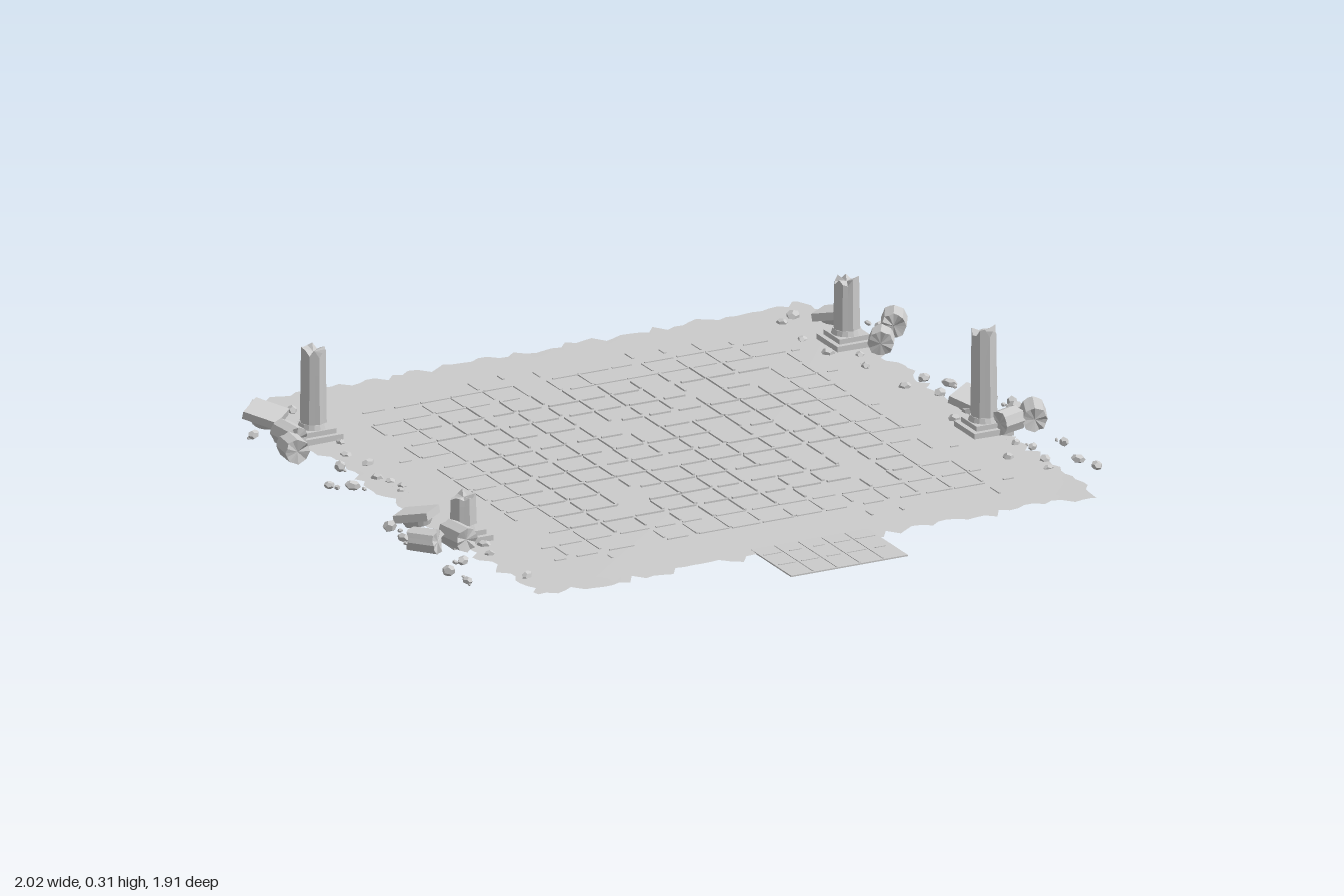
import * as THREE from 'three';
import { mergeGeometries } from 'three/addons/utils/BufferGeometryUtils.js';

export function createModel() {
  const root = new THREE.Group();
  root.name = 'ruinedTempleCourt';
  const stone = new THREE.MeshStandardMaterial({ color: 0xcccccc, flatShading: true });
  const sheet = new THREE.MeshStandardMaterial({ color: 0xcccccc, side: THREE.DoubleSide });

  let seed = 7;
  const rnd = (a = 0, b = 1) => {
    seed = (seed * 16807) % 2147483647;
    return a + (b - a) * (seed / 2147483647);
  };
  const add = (parent, geo, name, x = 0, y = 0, z = 0, mat = stone) => {
    const m = new THREE.Mesh(geo, mat);
    m.name = name;
    m.position.set(x, y, z);
    parent.add(m);
    return m;
  };
  const group = (name, parent = root) => {
    const g = new THREE.Group();
    g.name = name;
    parent.add(g);
    return g;
  };

  // Ground: very shallow dome with a ragged border
  const CZ = -0.085, HX = 0.85, HZ = 0.85, N = 64;
  const groundY = (x, z) => {
    const u = Math.min(1, Math.abs(x) / HX), v = Math.min(1, Math.abs(z - CZ) / HZ);
    return 0.023 + 0.01 * (1 - u * u) * (1 - v * v);
  };
  const ground = new THREE.PlaneGeometry(2 * HX, 2 * HZ, N, N).rotateX(-Math.PI / 2);
  const gp = ground.attributes.position;
  for (let j = 0; j <= N; j++) {
    for (let i = 0; i <= N; i++) {
      const k = j * (N + 1) + i;
      let x = gp.getX(k), z = gp.getZ(k) + CZ;
      const y = groundY(x, z);
      const edgeX = i === 0 || i === N, edgeZ = j === 0 || j === N;
      if (edgeX) x += Math.sign(x) * rnd(-0.02, 0.022);
      if (edgeZ) z += Math.sign(z) * rnd(-0.02, 0.027);
      if (edgeX && edgeZ) x *= 0.985;
      gp.setXYZ(k, x, y, z);
    }
  }
  ground.computeVertexNormals();
  add(root, ground, 'ground', 0, 0, 0, sheet);

  // Broken paving joints: thin strips with random gaps
  const strips = [];
  const strip = (x, z, lx, lz, y) => {
    strips.push(new THREE.BoxGeometry(lx, 0.005, lz).translate(x, y, z));
  };
  const S = 0.0967, X0 = -0.637, Z0 = -0.708;
  const joint = (x, z, alongX) => {
    const edge = Math.max(Math.abs(x) / 0.72, Math.abs(z - CZ) / 0.72);
    if (rnd() > (edge > 0.9 ? 0.5 : 0.88)) return;
    const len = S * rnd(edge > 0.9 ? 0.2 : 0.6, edge > 0.9 ? 0.6 : 0.98);
    const w = rnd(0.005, 0.009);
    const shift = rnd(-0.5, 0.5) * (S - len);
    const y = groundY(x, z) + (edge > 0.7 ? 0.0005 : 0.0027);
    if (alongX) strip(x + shift, z + rnd(-0.002, 0.002), len, w, y);
    else strip(x + rnd(-0.002, 0.002), z + shift, w, len, y);
  };
  for (let i = -1; i < 14; i++) {
    for (let j = -1; j < 14; j++) {
      const x = X0 + i * S, z = Z0 + j * S;
      if (j >= 0) joint(x + S / 2, z, true);
      if (i >= 0) joint(x, z + S / 2, false);
    }
  }
  add(root, mergeGeometries(strips), 'pavingJoints');

  // Entrance paving: five narrow columns of thin slabs
  const entrance = group('entrancePaving');
  add(entrance, new THREE.BoxGeometry(0.355, 0.004, 0.235), 'entranceSlab', -0.002, 0.023, 0.833);
  for (let i = 1; i < 5; i++) {
    add(entrance, new THREE.BoxGeometry(0.005, 0.004, 0.22), 'entranceJoint', -0.18 + i * 0.071, 0.025, 0.835);
  }
  for (let i = 0; i < 5; i++) {
    for (const z of [0.775, 0.86]) {
      add(entrance, new THREE.BoxGeometry(rnd(0.03, 0.06), 0.004, 0.005), 'entranceJoint', -0.145 + i * 0.071, 0.025, z);
    }
  }

  // Cylinder whose caps are broken into uneven points
  const brokenShaft = (r0, r1, h, jagTop, jagBottom = 0) => {
    const sides = 16;
    const g = new THREE.CylinderGeometry(r1, r0, h, sides, 3);
    const top = Array.from({ length: sides }, () => rnd(-jagTop, jagTop * 0.3));
    const bot = Array.from({ length: sides }, () => rnd(-jagBottom * 0.3, jagBottom));
    const p = g.attributes.position;
    for (let i = 0; i < p.count; i++) {
      const x = p.getX(i), y = p.getY(i), z = p.getZ(i);
      const a = (Math.round((Math.atan2(x, z) / (2 * Math.PI)) * sides) + sides) % sides;
      const rim = Math.hypot(x, z) > 0.01;
      const flute = a % 2 ? 0.92 : 1;
      let dy = 0;
      if (y > h / 2 - 1e-5) dy = rim ? top[a] : -jagTop * 0.6;
      if (y < -h / 2 + 1e-5) dy = rim ? bot[a] : jagBottom * 0.6;
      p.setXYZ(i, x * flute, y + dy, z * flute);
    }
    g.computeVertexNormals();
    return g;
  };

  // Standing columns on stepped square plinths: x, z, top height
  for (const [x, z, top] of [[-0.81, -0.62, 0.28], [0.805, -0.605, 0.213], [0.815, 0.172, 0.318], [-0.82, 0.27, 0.152]]) {
    const col = group('column');
    col.position.set(x, 0, z);
    add(col, new THREE.BoxGeometry(0.12, 0.024, 0.12), 'plinth', 0, 0.028, 0);
    add(col, new THREE.BoxGeometry(0.092, 0.014, 0.092), 'plinthStep', 0, 0.047, 0);
    add(col, new THREE.CylinderGeometry(0.038, 0.043, 0.014, 16), 'columnBase', 0, 0.061, 0);
    const h = top - 0.066;
    add(col, brokenShaft(0.038, 0.035, h, 0.022), 'shaft', 0, 0.066 + h / 2, 0);
  }

  // Fallen capitals: square slab over a flared neck, tipped on the ground
  for (const [x, z, yaw, tilt] of [[-0.87, -0.785, 0.75, 0.22], [0.86, -0.775, 0.72, -0.2], [0.87, 0, 0.6, 0.25], [-0.875, 0.105, 0.75, -0.2]]) {
    const cap = group('fallenCapital');
    cap.position.set(x, 0.038, z);
    cap.rotation.set(tilt, yaw, tilt * 0.4, 'YXZ');
    add(cap, new THREE.BoxGeometry(0.098, 0.022, 0.098), 'abacus', 0, 0.008, 0);
    add(cap, new THREE.CylinderGeometry(0.045, 0.034, 0.02, 16), 'neck', 0, -0.012, 0);
  }

  // Fallen drums: x, z, heading of the axis, length
  const drums = [
    [-0.905, -0.58, 0.95, 0.085], [-0.942, -0.485, 0.75, 0.075], [0.953, -0.613, 0, 0.08], [0.855, -0.5, -0.7, 0.07],
    [0.948, 0.207, -0.3, 0.095], [0.865, 0.215, 0.6, 0.075], [-0.963, 0.32, 0.15, 0.085], [-0.868, 0.33, 0.55, 0.09],
  ];
  for (const [x, z, yaw, len] of drums) {
    const d = add(root, brokenShaft(0.036, 0.035, len, 0.01, 0.01), 'fallenDrum', x, 0.056, z);
    d.rotation.set(Math.PI / 2, yaw, rnd(0, 3), 'YXZ');
  }

  // Rubble on both sides: x, z pairs in hundredths
  const left = [-77, -82, -95, -70, -80, -72, -89, -61, -77, -54, -89, -52, -80, -45, -78, -36, -86, -37, -95, -26, -90, -22,
    -81, -25, -79, -21, -78, -16, -80, -13, -96, 11, -97, 21, -91, 18, -76, 17, -80, 35, -82, 42, -98, 49, -91, 44, -97, 58, -81, 62];
  const right = [72, -82, 77, -85, 95, -69, 71, -68, 72, -55, 79, -50, 76, -41, 86, -26, 78, -22, 90, -19, 84, -13, 90, -9,
    96, -7, 98, 2, 84, 3, 78, 7, 97, 6, 77, 40, 84, 31, 87, 35, 96, 36, 85, 46, 93, 50, 95, 57, 83, 52];
  const rubble = group('rubble');
  const rock = (x, z, r) => {
    const m = add(rubble, new THREE.DodecahedronGeometry(r), 'rubbleStone', x, 0.014 + r * 0.7, z);
    m.scale.set(rnd(0.9, 1.4), rnd(0.6, 0.9), rnd(0.7, 1));
    m.rotation.set(rnd(-0.3, 0.3), rnd(0, 6.28), rnd(-0.3, 0.3));
  };
  for (const list of [left, right]) {
    for (let i = 0; i < list.length; i += 2) {
      const x = list[i] / 100, z = list[i + 1] / 100;
      rock(x, z, rnd(0.013, 0.021));
      // Small chips beside each stone
      rock(x + rnd(-0.025, 0.015) * Math.sign(x), z + rnd(-0.04, 0.04), rnd(0.005, 0.009));
    }
  }
  return root;
}
